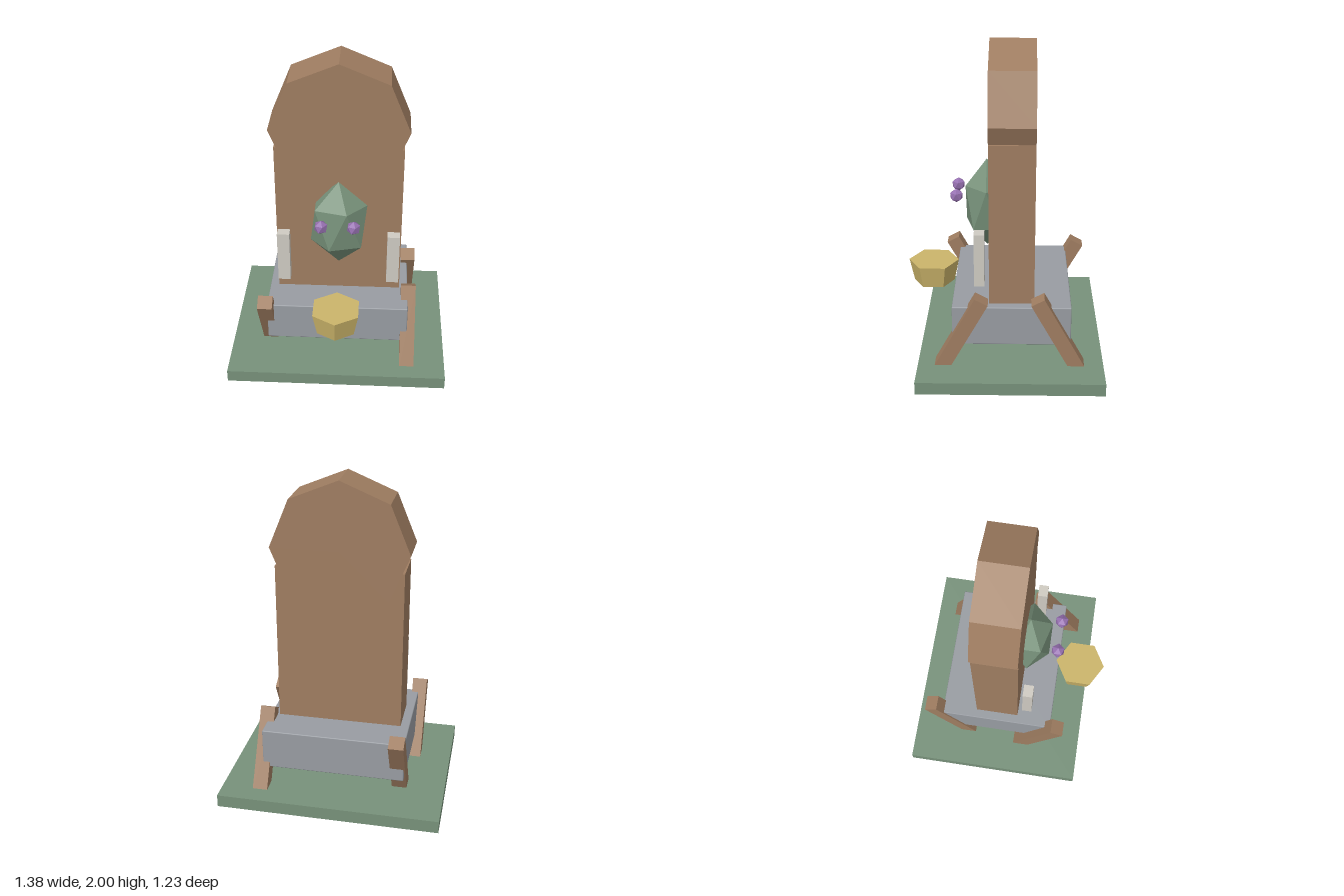
import * as THREE from 'three';
import { RoundedBoxGeometry } from 'three/addons/geometries/RoundedBoxGeometry.js';

const mat = (name, color, flatShading = false) => {
  const m = new THREE.MeshStandardMaterial({ color, flatShading });
  m.name = name;
  return m;
};

// Icosahedron standing on a vertex, with one upper ring vertex towards +x
function uprightIcosahedron(rx, ry, rz) {
  const ring = (offset, y) => Array.from({ length: 5 }, (_, i) => {
    const a = (i * 2 * Math.PI) / 5 + offset;
    return [0.8944 * rx * Math.cos(a), y * ry, 0.8944 * rz * Math.sin(a)];
  });
  const up = ring(0, 0.4472), low = ring(Math.PI / 5, -0.4472);
  const top = [0, ry, 0], bottom = [0, -ry, 0];
  const p = [];
  for (let i = 0; i < 5; i++) {
    const j = (i + 1) % 5;
    p.push(top, up[j], up[i], up[i], up[j], low[i]);
    p.push(low[i], up[j], low[j], bottom, low[i], low[j]);
  }
  const g = new THREE.BufferGeometry();
  g.setAttribute('position', new THREE.Float32BufferAttribute(p.flat(), 3));
  g.computeVertexNormals();
  return g;
}

export function createModel() {
  const model = new THREE.Group();
  model.name = 'shrine';
  const moss = mat('moss green', 0x77917a);
  const wood = mat('wood brown', 0x9f7d61);
  const stone = mat('stone grey', 0x989ca2);
  const gold = mat('dull gold', 0xcbb46a, true);
  const ivory = mat('ivory', 0xcfcbc2);
  const purple = mat('purple', 0x9670b0);

  const add = (name, geometry, material, x, y, z) => {
    const m = new THREE.Mesh(geometry, material);
    m.name = name;
    m.position.set(x, y, z);
    model.add(m);
    return m;
  };
  const box = (w, h, d) => new THREE.BoxGeometry(w, h, d);

  // Ground plate and stone seat with a fine bevel
  add('basePlate', box(1.38, 0.08, 1.14), moss, 0, 0.04, -0.047);
  add('seatSlab', new RoundedBoxGeometry(0.89, 0.255, 0.726, 1, 0.006), stone, 0, 0.3275, -0.052);

  // Tall back, topped by an eight-sided cap
  add('back', box(0.78, 1.066, 0.275), wood, 0, 0.933, -0.052);
  const cap = new THREE.CylinderGeometry(0.422, 0.422, 0.277, 8);
  cap.rotateX(Math.PI / 2);
  add('backCap', cap.toNonIndexed(), wood, 0, 1.578, -0.052).material = wood;
  model.getObjectByName('backCap').geometry.computeVertexNormals();

  // Leaning legs: x, z of the top end, and which way the foot goes in z
  const length = 0.535, lean = 0.5;
  [
    ['frontLeftLeg', 0.448, 0.13, 1],
    ['backLeftLeg', 0.448, -0.21, -1],
    ['frontRightLeg', -0.449, 0.36, -1],
    ['backRightLeg', -0.407, -0.49, 1],
  ].forEach(([name, x, z, dir]) => {
    const leg = add(name, box(0.093, length, 0.09), wood, x,
      0.515 - (length / 2) * Math.cos(lean), z + dir * (length / 2) * Math.sin(lean));
    leg.rotation.x = -dir * lean;
  });

  // Faceted head with floating eyes
  add('head', uprightIcosahedron(0.196, 0.29, 0.153), moss, 0, 0.962, 0.108);
  for (const s of [1, -1]) {
    const side = s > 0 ? 'left' : 'right';
    add(side + 'Eye', uprightIcosahedron(0.044, 0.044, 0.044), purple, s * 0.098, 1.045, 0.292);
    add(side + 'Pillar', box(0.077, 0.34, 0.062), ivory, s * 0.342, 0.735, 0.145);
  }

  // Six-sided offering bowl
  add('bowl', new THREE.CylinderGeometry(0.16, 0.13, 0.145, 6), gold, 0, 0.488, 0.453);

  return model;
}
